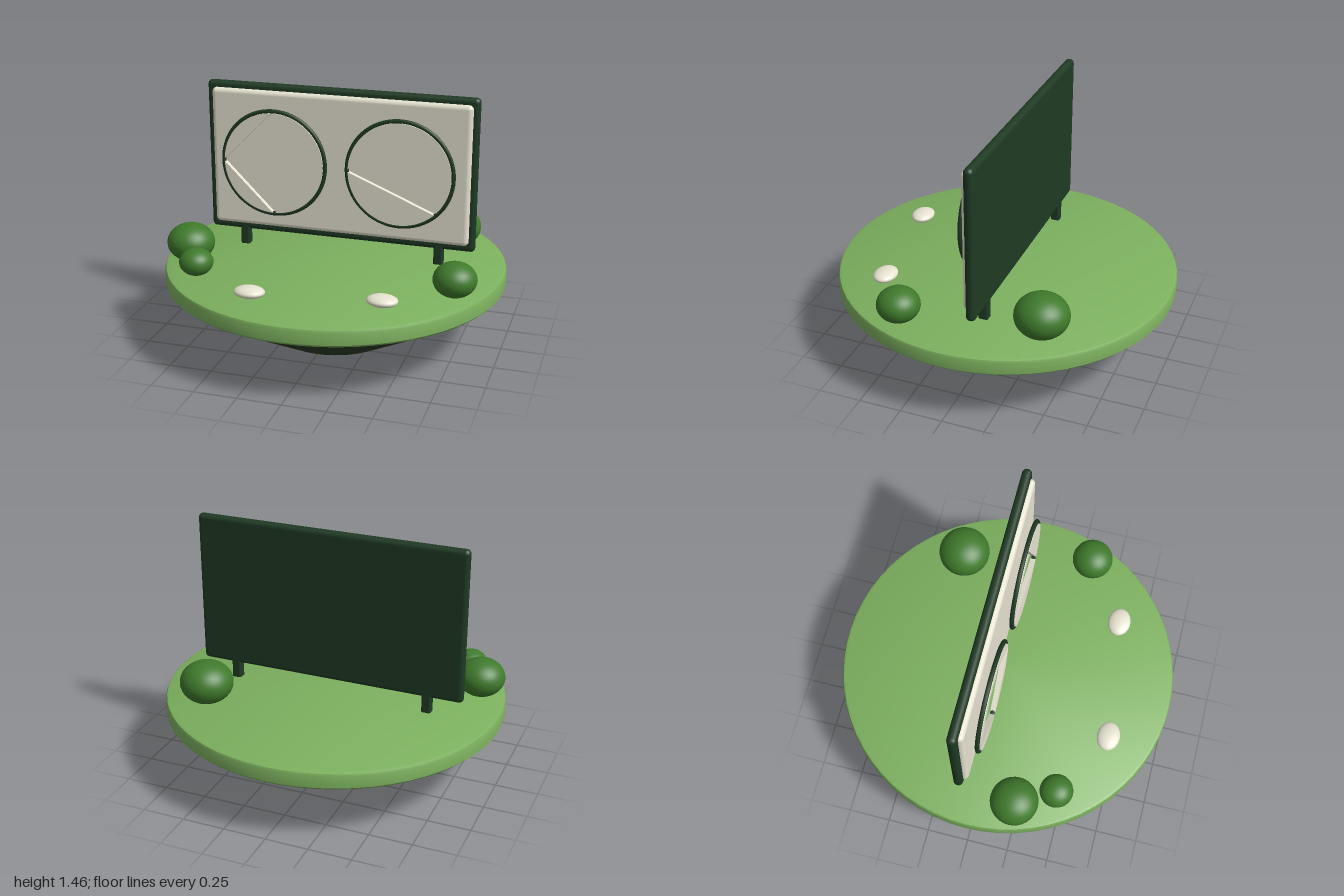
import * as THREE from 'three';
import { RoundedBoxGeometry } from 'three/addons/geometries/RoundedBoxGeometry.js';
import { toCreasedNormals } from 'three/addons/utils/BufferGeometryUtils.js';

const mat = (name, color) => {
  const m = new THREE.MeshStandardMaterial({ color });
  m.name = name;
  return m;
};

export function createModel() {
  const model = new THREE.Group();
  const grass = mat('grass green', 0x7cb05e);
  const earth = mat('dark earth', 0x2e3b26);
  const frameDark = mat('dark green', 0x1f3a24);
  const cream = mat('cream', 0xe8e4d2);
  const leaf = mat('leaf green', 0x3f7a2c);

  const add = (name, geometry, material, x = 0, y = 0, z = 0, parent = model) => {
    const mesh = new THREE.Mesh(geometry, material);
    mesh.name = name;
    mesh.position.set(x, y, z);
    parent.add(mesh);
    return mesh;
  };

  // Island: bevelled grass plate over a tapered base
  const rim = [[0, 0.35], [0.985, 0.35], [1, 0.365], [1, 0.435], [0.994, 0.448], [0.98, 0.454], [0, 0.454]];
  const plate = new THREE.LatheGeometry(rim.map(([r, y]) => new THREE.Vector2(r, y)), 64);
  add('grassPlate', toCreasedNormals(plate, 0.7), grass);
  add('earthBase', new THREE.CylinderGeometry(0.98, 0.375, 0.352, 64), earth, 0, 0.176, 0);

  // Board: dark frame, raised cream panel and two legs
  add('boardFrame', new RoundedBoxGeometry(1.62, 0.91, 0.056, 4, 0.027), frameDark, 0, 1.002, -0.093);
  add('boardPanel', new RoundedBoxGeometry(1.55, 0.83, 0.056, 4, 0.027), cream, 0, 1.004, -0.066);
  for (const side of [-1, 1]) {
    add('boardLeg', new RoundedBoxGeometry(0.056, 0.18, 0.056, 3, 0.012), frameDark, side * 0.597, 0.51, -0.093);
  }

  // Pie slice with straight gaps to its neighbours
  const slice = (a, b, radius, gap) => {
    const inset = Math.asin(gap / 2 / radius);
    const mid = (a + b) / 2;
    const apex = gap / 2 / Math.sin((b - a) / 2);
    const shape = new THREE.Shape();
    shape.moveTo(Math.cos(mid) * apex, Math.sin(mid) * apex);
    shape.absarc(0, 0, radius, a + inset, b - inset, false);
    shape.closePath();
    return new THREE.ExtrudeGeometry(shape, { depth: 0.03, bevelEnabled: false, curveSegments: 24 });
  };

  // Divided discs, each inside a dark ring
  const disc = (name, x, cuts) => {
    const group = new THREE.Group();
    group.name = name;
    group.position.set(x, 1.004, 0.004);
    add('ring', new THREE.TorusGeometry(0.311, 0.013, 10, 64), frameDark, 0, 0, 0, group);
    cuts.slice(1).forEach((end, i) => {
      const [a, b] = [cuts[i], end].map(THREE.MathUtils.degToRad);
      add('slice', slice(a, b, 0.302, 0.016), cream, 0, 0, -0.014, group);
    });
    model.add(group);
  };
  disc('quarteredDisc', -0.377, [0, 90, 180, 270, 360]);
  disc('threePartDisc', 0.377, [-45, 90, 180, 315]);

  // Bushes: x, y, z, radius
  const ball = new THREE.SphereGeometry(1, 32, 20);
  for (const [x, y, z, r] of [
    [0.625, 0.565, -0.437, 0.155], [-0.815, 0.555, 0.245, 0.14],
    [-0.69, 0.527, 0.465, 0.098], [0.78, 0.546, 0.34, 0.123],
  ]) add('bush', ball, leaf, x, y, z).scale.set(r, r * 0.8, r);

  // Flat stones
  for (const [x, z] of [[-0.285, 0.685], [0.437, 0.59]]) {
    add('stone', ball, cream, x, 0.483, z).scale.set(0.088, 0.031, 0.068);
  }
  return model;
}
